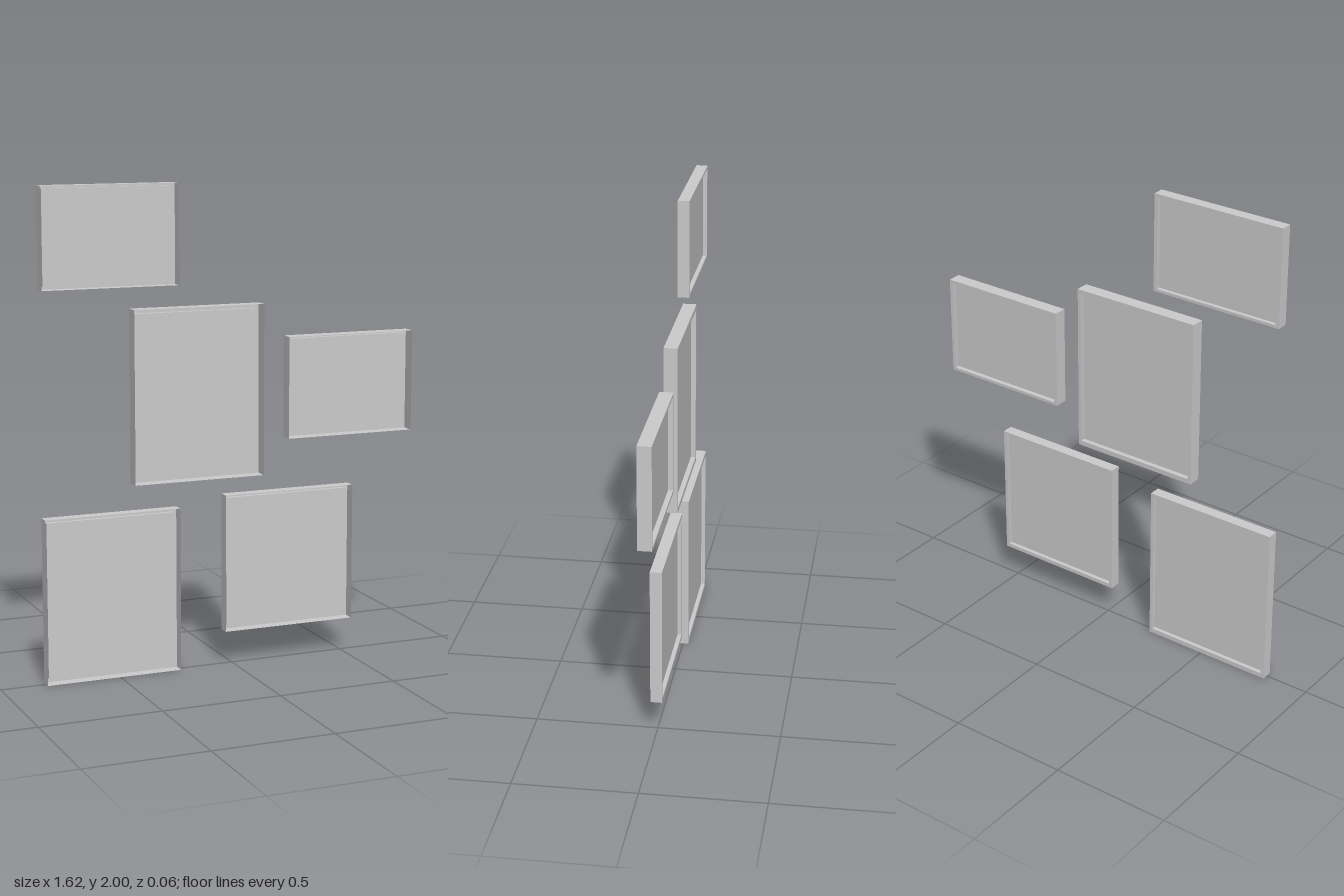
import * as THREE from 'three';

const material = new THREE.MeshStandardMaterial({
  color: 0xcccccc, flatShading: true, side: THREE.DoubleSide,
});

// Joins a run of rectangles { w, h, z } with flat walls and returns the geometry.
function loftRectangles(rings) {
  const corners = [[-0.5, -0.5], [0.5, -0.5], [0.5, 0.5], [-0.5, 0.5]];
  const positions = [];
  const index = [];
  for (const { w, h, z } of rings) {
    for (const [cx, cy] of corners) positions.push(cx * w, cy * h, z);
  }
  for (let r = 0; r < rings.length - 1; r++) {
    for (let i = 0; i < 4; i++) {
      const a = r * 4 + i;
      const b = r * 4 + (i + 1) % 4;
      index.push(a, a + 4, b, b, a + 4, b + 4);
    }
  }
  const indexed = new THREE.BufferGeometry();
  indexed.setAttribute('position', new THREE.Float32BufferAttribute(positions, 3));
  indexed.setIndex(index);
  const geometry = indexed.toNonIndexed();
  geometry.computeVertexNormals();
  return geometry;
}

// One picture frame: open-fronted shell, narrow back rim, recessed panel.
function createFrame(name, x0, x1, y0, y1, depth) {
  const w = x1 - x0;
  const h = y1 - y0;
  const innerW = w * 0.95;
  const innerH = h * 0.942;
  const back = -depth / 2;
  const panelZ = back + depth * 0.36;

  const frame = new THREE.Group();
  frame.name = name;
  frame.position.set((x0 + x1) / 2, (y0 + y1) / 2, 0);

  // Outer walls, rim and recess step
  const shell = new THREE.Mesh(loftRectangles([
    { w, h, z: depth / 2 },
    { w, h, z: back },
    { w: innerW, h: innerH, z: back },
    { w: innerW, h: innerH, z: panelZ },
  ]), material);
  shell.name = 'frameShell';

  // Flat panel facing the back
  const panel = new THREE.Mesh(new THREE.PlaneGeometry(innerW, innerH), material);
  panel.name = 'picturePanel';
  panel.rotation.y = Math.PI;
  panel.position.z = panelZ;

  frame.add(shell, panel);
  return frame;
}

export function createModel() {
  const group = new THREE.Group();
  group.name = 'pictureFrames';
  const frames = [
    ['topFrame', -0.811, -0.236, 1.593, 2.0, 0.048],
    ['centreFrame', -0.431, 0.132, 0.792, 1.502, 0.057],
    ['sideFrame', 0.245, 0.811, 0.936, 1.36, 0.057],
    ['lowerOuterFrame', -0.811, -0.236, 0, 0.681, 0.048],
    ['lowerInnerFrame', -0.036, 0.541, 0.14, 0.718, 0.048],
  ];
  for (const spec of frames) group.add(createFrame(...spec));
  return group;
}
